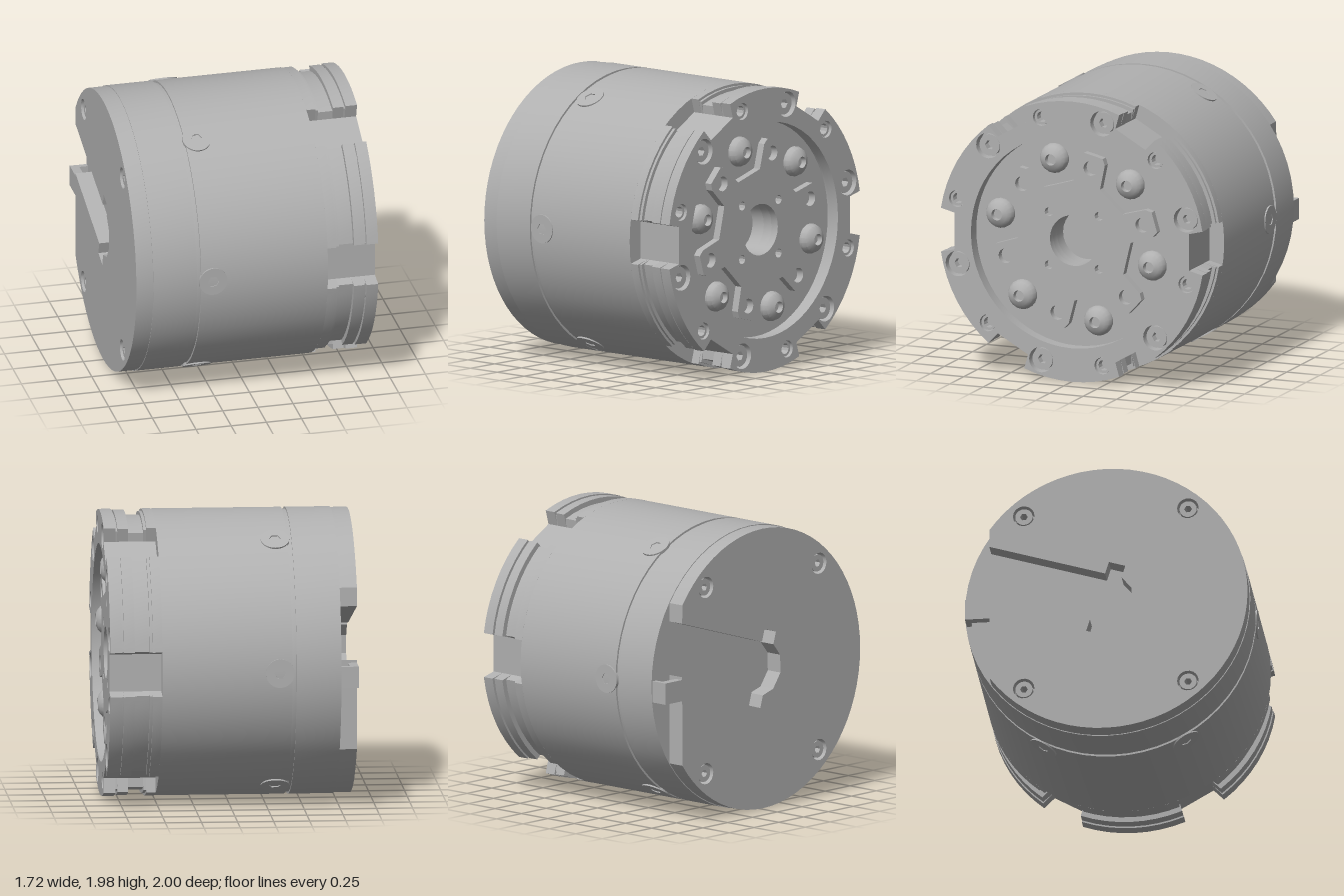
import * as THREE from 'three';
import { toCreasedNormals } from 'three/addons/utils/BufferGeometryUtils.js';

const metal = new THREE.MeshStandardMaterial({ color: 0xb0b0b0 });
metal.name = 'grey metal';

const R = 0.992;
const rad = (d) => (d * Math.PI) / 180;
const polar = (r, deg) => new THREE.Vector2(r * Math.cos(rad(deg)), r * Math.sin(rad(deg)));
const V = (x, y) => new THREE.Vector2(x, y);
const ORIGIN = V(0, 0);

// Regular polygon or circle as a point loop
function ring(r, n, c = ORIGIN, turn = 0) {
  return Array.from({ length: n }, (_, i) => polar(r, turn + (i * 360) / n).add(c));
}

// Six points on a circle, 60 degrees apart
const six = (r, start) => Array.from({ length: 6 }, (_, k) => polar(r, start + 60 * k));

// Circular outline with six tapered notches in its rim
function notched(r) {
  const pts = [];
  const half = (Math.asin(0.155 / r) * 180) / Math.PI;
  for (let k = 0; k < 6; k++) {
    const x = Math.sqrt(r * r - 0.155 * 0.155);
    for (const p of [V(x, -0.155), V(0.88, -0.13), V(0.88, 0.13)]) {
      pts.push(p.rotateAround(ORIGIN, rad(60 * k)));
    }
    for (let i = 0; i < 8; i++) pts.push(polar(r, 60 * k + half + ((60 - 2 * half) * i) / 8));
  }
  return pts;
}

export function createModel() {
  const model = new THREE.Group();
  model.name = 'motorHousing';
  // Built along local z, then turned so the axis lies along x
  const axis = new THREE.Group();
  axis.name = 'housingAxis';
  axis.rotation.y = Math.PI / 2;
  axis.position.y = 1.004;
  model.add(axis);

  function add(name, geo, parent = axis) {
    const mesh = new THREE.Mesh(toCreasedNormals(geo, 0.5), metal);
    mesh.name = name;
    parent.add(mesh);
    return mesh;
  }
  // Plate with holes between two positions on the axis
  function slab(name, pts, z0, z1, holes = [], parent = axis) {
    const shape = new THREE.Shape(pts);
    shape.holes = holes.map((h) => new THREE.Path(h));
    const geo = new THREE.ExtrudeGeometry(shape, { depth: z1 - z0, bevelEnabled: false });
    return add(name, geo.translate(0, 0, z0), parent);
  }
  // Flat screw head with a hexagonal socket
  const screw = (name, c, r, z0, z1) => slab(name, ring(r, 20, c), z0, z1, [ring(r * 0.45, 6, c)]);

  // Main barrel and rear cap
  slab('rearCap', ring(R, 60), -0.74, -0.43);
  slab('capSeam', ring(0.978, 60), -0.43, -0.4);
  slab('barrel', ring(R, 60), -0.4, 0.5);

  // Notched flange with its grooves
  const bore = ring(0.18, 28);
  slab('barrelLip', notched(R), 0.5, 0.565);
  slab('lipStep', notched(0.975), 0.565, 0.585);
  slab('flangeGroove', notched(0.95), 0.585, 0.69, [bore]);
  slab('innerFlange', notched(0.986), 0.69, 0.765, [bore]);
  const recess = ring(0.755, 60);
  slab('flangeSeam', notched(0.965), 0.765, 0.778, [recess]);

  // Front ring with sunk screws and threaded inserts
  const bolts = six(0.885, 15);
  const inserts = six(0.89, 45);
  slab('frontRing', notched(R), 0.778, 0.86, [
    recess,
    ...bolts.map((c) => ring(0.09, 20, c)),
    ...inserts.map((c) => ring(0.06, 16, c)),
  ]);
  bolts.forEach((c) => screw('ringScrew', c, 0.076, 0.77, 0.835));
  inserts.forEach((c) => slab('threadedInsert', ring(0.055, 16, c), 0.77, 0.84, [ring(0.038, 12, c)]));

  // Six-lobed output plate
  const star = [];
  for (let k = 0; k < 6; k++) {
    for (const [a, r] of [[-24, 0.41], [-14, 0.425], [-9.5, 0.595], [-6.5, 0.633],
      [6.5, 0.633], [9.5, 0.595], [14, 0.425], [24, 0.41]]) {
      star.push(polar(r, 76.6 + 60 * k + a));
    }
  }
  slab('outputPlate', star, 0.76, 0.82, [
    bore,
    ...six(0.535, 76.6).map((c) => ring(0.052, 16, c)),
    ...[45, 135, 225, 315].map((a) => ring(0.032, 10, polar(0.265, a))),
  ]);

  // Domed screws between the lobes
  const dome = [[0.105, 0], [0.105, 0.02], [0.092, 0.05], [0.07, 0.07], [0.04, 0.083],
    [0.036, 0.045], [0, 0.045]].map((p) => V(...p));
  for (const c of six(0.585, 46.4)) {
    add('domedScrew', new THREE.LatheGeometry(dome, 18).rotateX(Math.PI / 2).translate(c.x, c.y, 0.762));
  }

  // Back plate: flat side pocket and a cable channel reaching the middle
  const back = [];
  for (let a = 35; a <= 325; a += 5) back.push(polar(0.986, a));
  const channel = [[0.792, -0.18], [0.06, -0.18], [0.06, -0.27], [-0.06, -0.27], [-0.06, -0.18],
    [-0.15, -0.12], [-0.19, 0], [-0.15, 0.12], [-0.06, 0.18], [-0.06, 0.27], [0.06, 0.27],
    [0.06, 0.18], [0.902, 0.18]];
  for (const p of channel) back.push(V(...p).rotateAround(ORIGIN, rad(17)));
  const rear = [49, 131, 229, 311].map((a) => polar(0.87, a));
  slab('backPlate', back, -0.86, -0.74, rear.map((c) => ring(0.075, 18, c)));
  rear.forEach((c) => screw('backScrew', c, 0.06, -0.845, -0.735));

  // Hooked tab in the middle of the pocket
  add('pocketTabLip', new THREE.BoxGeometry(0.18, 0.15, 0.06).translate(0.89, -0.035, -0.83));
  add('pocketTabWall', new THREE.BoxGeometry(0.035, 0.15, 0.08).translate(0.962, -0.035, -0.765));

  // Radial screws around the barrel
  for (let k = 0; k < 6; k++) {
    const mount = new THREE.Group();
    mount.name = 'radialScrewMount';
    mount.rotation.z = rad(60 * k);
    axis.add(mount);
    const head = slab('radialScrew', ring(0.1, 24), 0.94, 0.998, [ring(0.04, 6)], mount);
    head.rotation.y = Math.PI / 2;
    head.position.z = -0.315;
  }
  return model;
}
